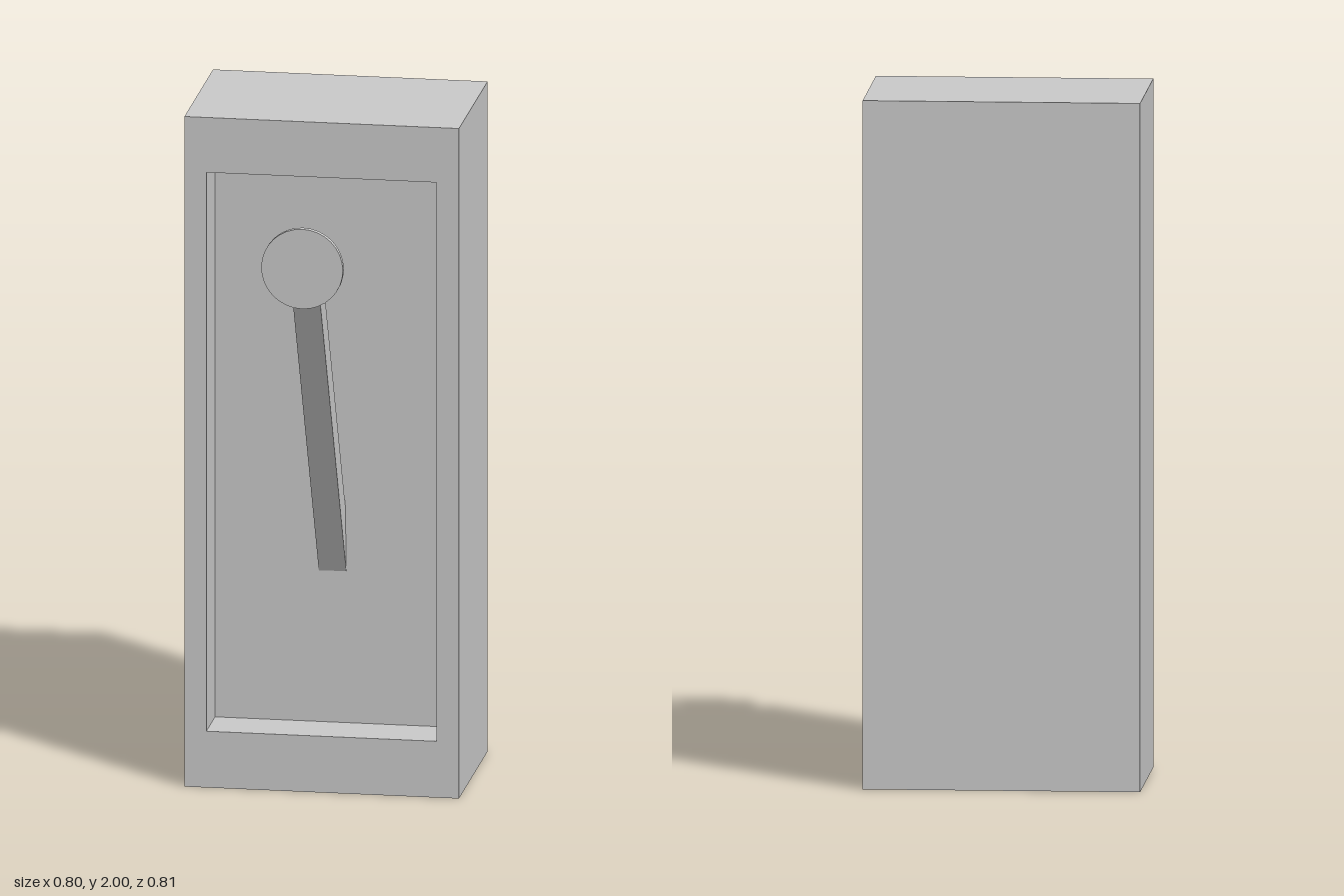
import * as THREE from 'three';

const BACK = -0.403, FRONT = 0.108, RECESS = -0.048; // z of back, front rim and recess floor
const WIDTH = 0.8, HEIGHT = 2;

function rectangle(PathType, x0, y0, x1, y1) {
  const path = new PathType();
  path.moveTo(x0, y0).lineTo(x1, y0).lineTo(x1, y1).lineTo(x0, y1).closePath();
  return path;
}

export function createModel() {
  const group = new THREE.Group();
  const material = new THREE.MeshStandardMaterial({ color: 0xcccccc, flatShading: true });
  const add = (name, geometry) => {
    const mesh = new THREE.Mesh(geometry, material);
    mesh.name = name;
    group.add(mesh);
    return mesh;
  };

  // Solid rear of the housing; its front face is the recess floor
  const rear = add('housingBack', new THREE.BoxGeometry(WIDTH, HEIGHT, RECESS - BACK));
  rear.position.set(0, HEIGHT / 2, (RECESS + BACK) / 2);

  // Rim around the recess
  const outline = rectangle(THREE.Shape, -WIDTH / 2, 0, WIDTH / 2, HEIGHT);
  outline.holes.push(rectangle(THREE.Path, -0.336, 0.168, 0.334, 1.836));
  const rim = add('housingRim', new THREE.ExtrudeGeometry(outline, { depth: FRONT - RECESS, bevelEnabled: false }));
  rim.position.z = RECESS;

  // Square lever leaning out of the recess, its foot buried in the housing
  const length = 1.2;
  const up = new THREE.Vector3(-0.0125, 0.919, 0.394).normalize();
  const side = new THREE.Vector3().crossVectors(up, new THREE.Vector3(0, 0, 1)).normalize();
  const out = new THREE.Vector3().crossVectors(side, up);
  const lever = add('lever', new THREE.BoxGeometry(0.08, length, 0.076));
  lever.quaternion.setFromRotationMatrix(new THREE.Matrix4().makeBasis(side, up, out));
  lever.position.set(-0.008, 1.663, 0.358).addScaledVector(up, -length / 2);

  // Round plate on the tip of the lever
  const knob = add('knobPlate', new THREE.CylinderGeometry(0.119, 0.119, 0.018, 32).rotateX(Math.PI / 2));
  knob.position.set(-0.009, 1.643, 0.394);

  return group;
}
